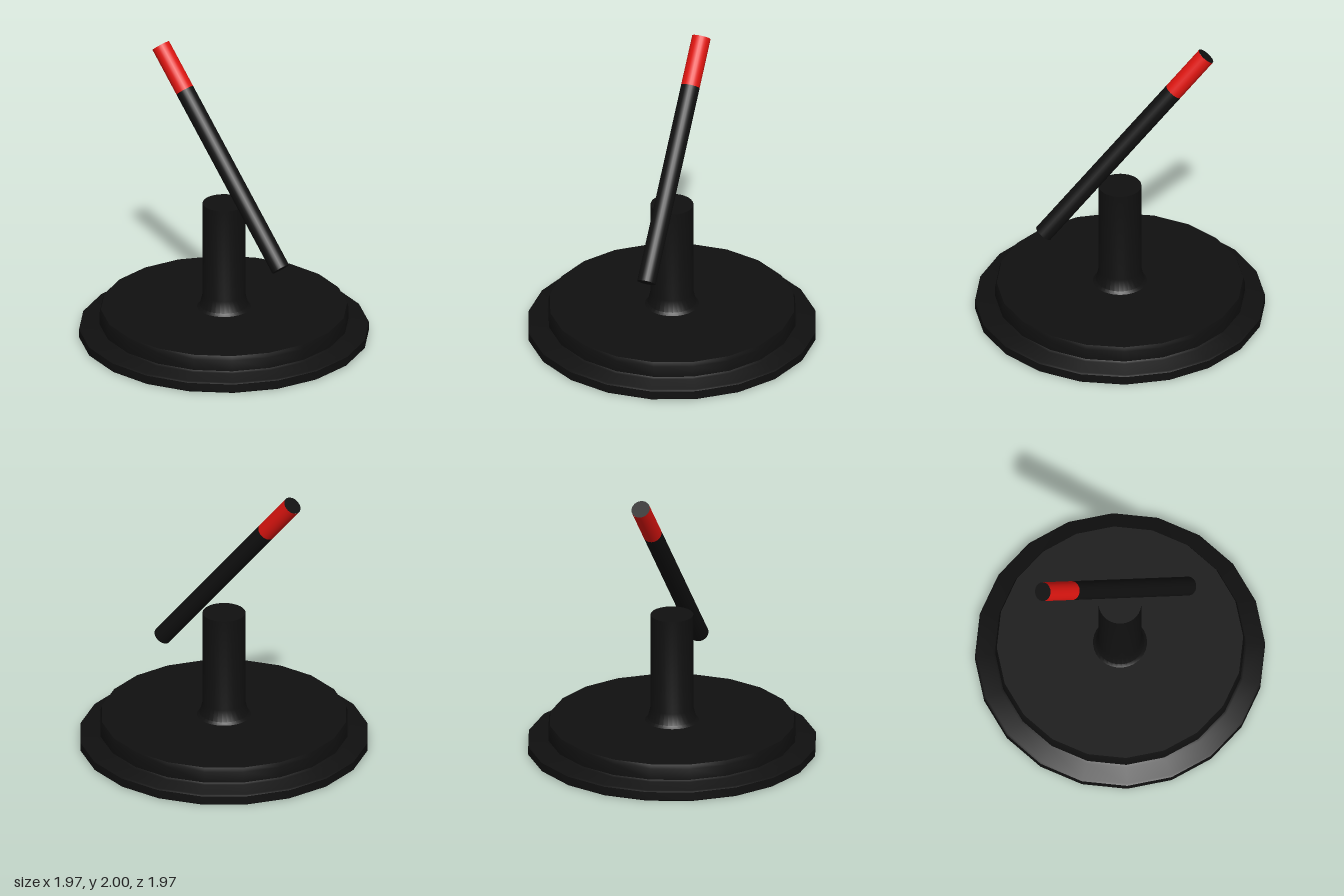
import * as THREE from 'three';
import { toCreasedNormals } from 'three/addons/utils/BufferGeometryUtils.js';

const black = new THREE.MeshStandardMaterial({ color: 0x101010 });
const red = new THREE.MeshStandardMaterial({ color: 0xe01510 });

// Turned part from a [radius, height] profile, listed bottom to top
function turned(name, profile, sides) {
  const points = profile.map(([r, y]) => new THREE.Vector2(r, y));
  const mesh = new THREE.Mesh(toCreasedNormals(new THREE.LatheGeometry(points, sides), 0.6), black);
  mesh.name = name;
  return mesh;
}

// Round rod between two points
function rod(name, from, to, radius, material, open) {
  const dir = to.clone().sub(from);
  const mesh = new THREE.Mesh(new THREE.CylinderGeometry(radius, radius, dir.length(), 24, 1, open), material);
  mesh.position.copy(from).lerp(to, 0.5);
  mesh.quaternion.setFromUnitVectors(new THREE.Vector3(0, 1, 0), dir.normalize());
  mesh.name = name;
  return mesh;
}

export function createModel() {
  const model = new THREE.Group();
  model.name = 'leverOnStand';

  // Stepped base with a sloping rim
  model.add(turned('base', [
    [0, 0], [0.975, 0], [0.983, 0.008], [0.983, 0.065], [0.97, 0.073],
    [0.86, 0.092], [0.845, 0.102], [0.845, 0.18], [0.835, 0.21], [0, 0.21],
  ], 20));

  // Column with a flared foot
  model.add(turned('column', [
    [0.185, 0.208], [0.165, 0.226], [0.145, 0.305], [0.145, 0.975], [0, 0.975],
  ], 32));

  // Tilted lever: black shaft, red grip band, black end cap
  const low = new THREE.Vector3(0.516, 0.643, 0.098);
  const high = new THREE.Vector3(-0.578, 1.959, -0.115);
  const split = low.clone().lerp(high, 0.8);
  const lever = new THREE.Group();
  lever.name = 'lever';
  lever.add(rod('shaft', low, split, 0.064, black, false));
  lever.add(rod('grip', split, high, 0.064, red, true));
  const cap = new THREE.Mesh(new THREE.CircleGeometry(0.064, 24), black);
  cap.name = 'gripEnd';
  cap.position.copy(high);
  cap.quaternion.setFromUnitVectors(new THREE.Vector3(0, 0, 1), high.clone().sub(low).normalize());
  lever.add(cap);
  model.add(lever);

  return model;
}
